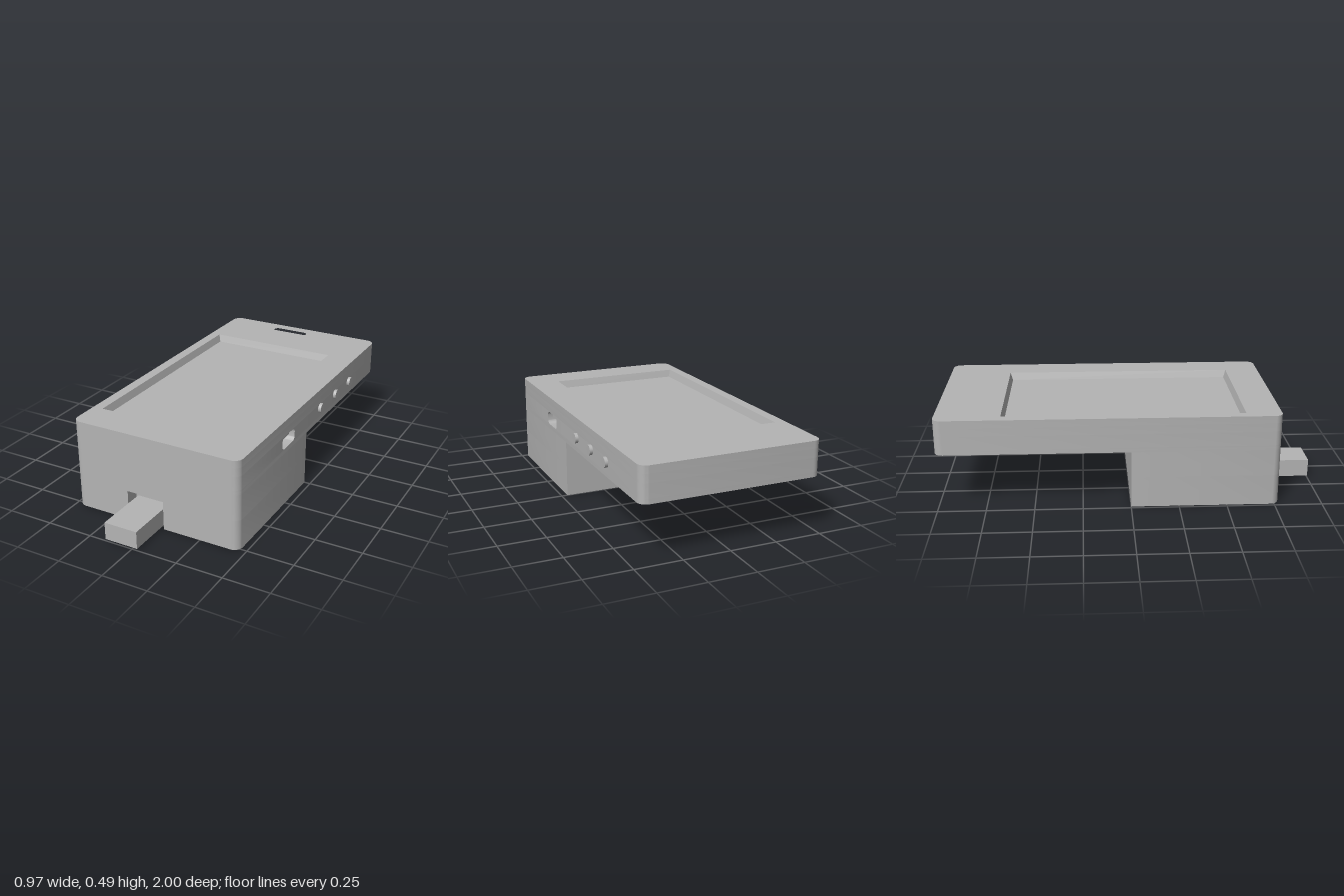
import * as THREE from 'three';
import { toCreasedNormals } from 'three/addons/utils/BufferGeometryUtils.js';

const X0 = -0.485, X1 = 0.467, ZB = -1, ZF = 0.775, R = 0.045;
const K = 0.4477; // bezier handle position for a circular corner

// Closed outline through [u, v, cornerRadius] points
function outline(points, path = new THREE.Shape()) {
  const n = points.length;
  const toward = (a, b, d) => {
    const l = Math.hypot(b[0] - a[0], b[1] - a[1]);
    return [a[0] + (b[0] - a[0]) * d / l, a[1] + (b[1] - a[1]) * d / l];
  };
  points.forEach((p, i) => {
    const r = p[2] || 0, prev = points[(i + n - 1) % n], next = points[(i + 1) % n];
    const a = toward(p, prev, r), b = toward(p, next, r);
    if (i === 0) path.moveTo(...a); else path.lineTo(...a);
    if (r) path.bezierCurveTo(...toward(p, prev, r * K), ...toward(p, next, r * K), ...b);
  });
  path.closePath();
  return path;
}

const rect = (u0, u1, v0, v1, r = 0) => [[u0, v0, r], [u1, v0, r], [u1, v1, r], [u0, v1, r]];
const hole = (points) => outline(points, new THREE.Path());
const flip = (points) => points.map(([x, z, r]) => [x, -z, r]); // plan (x, z) to shape (x, -z)
const planHole = (...args) => hole(flip(rect(...args)));
const screwHole = (x, z) => new THREE.Path().absarc(x, -z, 0.026, 0, Math.PI * 2);

export function createModel() {
  const group = new THREE.Group();
  const grey = new THREE.MeshStandardMaterial({ color: 0xb4b4b4 });
  grey.name = 'grey plastic';

  const add = (name, geometry) => {
    const mesh = new THREE.Mesh(geometry, grey);
    mesh.name = name;
    group.add(mesh);
    return mesh;
  };
  const extrude = (shape, depth) => toCreasedNormals(
    new THREE.ExtrudeGeometry(shape, { depth, bevelEnabled: false, curveSegments: 8 }), 0.5);
  const box = (name, x0, x1, y0, y1, z0, z1) => {
    const mesh = add(name, new THREE.BoxGeometry(x1 - x0, y1 - y0, z1 - z0));
    mesh.position.set((x0 + x1) / 2, (y0 + y1) / 2, (z0 + z1) / 2);
  };
  // Horizontal layer of the housing, from y0 up to y1
  const layer = (name, points, y0, y1, holes = []) => {
    const shape = outline(flip(points));
    shape.holes.push(...holes);
    add(name, extrude(shape, y1 - y0).rotateX(-Math.PI / 2).translate(0, y0, 0));
  };

  // Deep front block, with a cable notch open at the bottom
  const notch = [[0.042, ZF], [0.042, 0.7], [-0.168, 0.7], [-0.168, ZF]];
  const frontScrews = [screwHole(X0 + 0.045, ZF - 0.045), screwHole(X1 - 0.045, ZF - 0.045)];
  layer('lowerBlock', [[X0, 0], [X1, 0], [X1, ZF, R], ...notch, [X0, ZF, R]], 0, 0.164, frontScrews);
  layer('upperBlock', [[X0, 0], [X1, 0], [X1, ZF, R], [X0, ZF, R]], 0.164, 0.305);

  // Thin full-length housing, stacked around its recesses
  const PZ0 = 0.15, PZ1 = 0.305, PY0 = 0.33, PY1 = 0.405, PX = 0.4;
  const full = rect(X0, X1, ZB, ZF, R);
  const ported = [full[0], full[1], [X1, PZ0], [PX, PZ0], [PX, PZ1], [X1, PZ1], full[2], full[3]];
  const slot = () => planHole(-0.17, 0.045, -0.94, -0.89, 0.0245);
  const backScrews = () => [screwHole(X0 + 0.045, ZB + 0.045), screwHole(X1 - 0.045, ZB + 0.045)];
  const S = [-0.43, 0.305, -0.66, 0.59];
  layer('undersidePanelRim', full, 0.305, 0.315,
    [slot(), ...backScrews(), planHole(-0.43, 0.245, -0.55, -0.06, 0.03)]);
  layer('housingBottom', full, 0.315, PY0, [slot(), ...backScrews()]);
  layer('housingMiddle', ported, PY0, PY1, [slot()]);
  layer('housingTop', full, PY1, 0.45, [slot()]);
  layer('screenSurround', full, 0.45, 0.49, [slot(), planHole(...S)]);

  // Sloping edge of the screen recess
  const loop = (d, y) => [[S[0] + d, y, S[2] + d], [S[0] + d, y, S[3] - d],
    [S[1] - d, y, S[3] - d], [S[1] - d, y, S[2] + d]];
  const outer = loop(0, 0.49), inner = loop(0.013, 0.45), positions = [];
  for (let i = 0; i < 4; i++) {
    const j = (i + 1) % 4;
    positions.push(...outer[i], ...outer[j], ...inner[j], ...outer[i], ...inner[j], ...inner[i]);
  }
  const bevel = new THREE.BufferGeometry();
  bevel.setAttribute('position', new THREE.Float32BufferAttribute(positions, 3));
  bevel.computeVertexNormals();
  add('screenBevel', bevel);

  // Charging port sleeve and tongue on the left side
  const sleeve = outline(rect(-PZ1, -PZ0, PY0, PY1));
  sleeve.holes.push(hole(rect(-PZ1 + 0.004, -PZ0 - 0.004, PY0 + 0.002, PY1 - 0.002, 0.024)));
  add('portSleeve', extrude(sleeve, X1 - PX).rotateY(Math.PI / 2).translate(PX, 0, 0));
  box('portTongue', PX, 0.445, 0.37, 0.388, 0.175, 0.28);

  // Round side buttons
  for (const z of [-0.175, -0.385, -0.59]) {
    const button = add('sideButton', new THREE.CylinderGeometry(0.027, 0.027, 0.033, 32));
    button.rotation.z = -Math.PI / 2;
    button.position.set(X1, 0.381, z);
  }

  // Connector sticking out of the front notch
  box('connector', -0.155, 0.03, 0.01, 0.105, 0.7, 1);

  return group;
}
